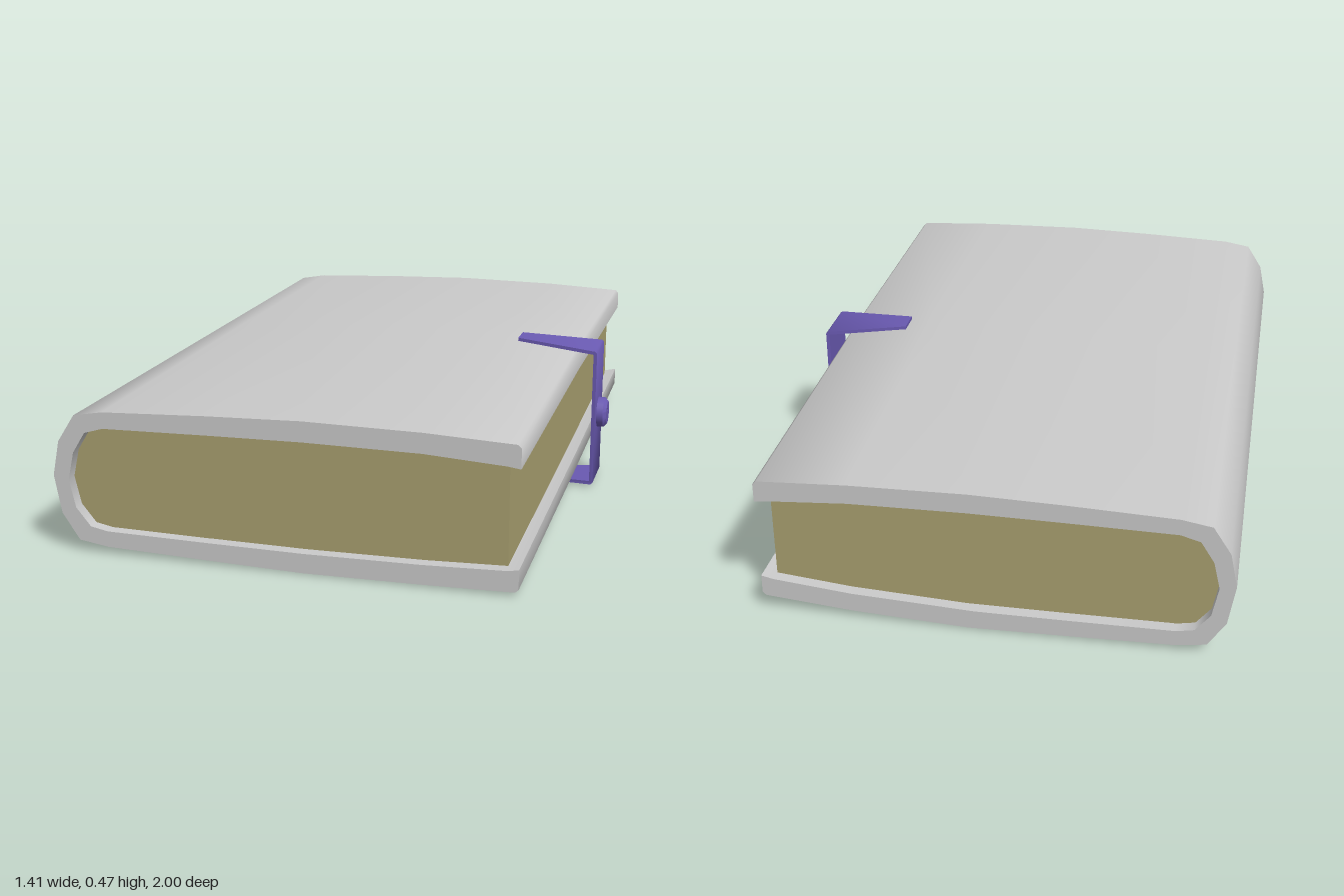
import * as THREE from 'three';
import { toCreasedNormals } from 'three/addons/utils/BufferGeometryUtils.js';

const shapeOf = (pts) => new THREE.Shape(pts.map(([x, y]) => new THREE.Vector2(x, y)));

// Extrude a profile along z, centred, then move each vertex by a rule
function extrudeAlongZ(pts, length, steps, rule) {
  const geo = new THREE.ExtrudeGeometry(shapeOf(pts), { depth: length, steps, bevelEnabled: false });
  geo.translate(0, 0, -length / 2);
  const pos = geo.attributes.position;
  const v = new THREE.Vector3();
  for (let i = 0; i < pos.count; i++) {
    rule(v.fromBufferAttribute(pos, i));
    pos.setXYZ(i, v.x, v.y, v.z);
  }
  return toCreasedNormals(geo, 0.95);
}

// Bulging upper board, slightly warped lower board
function warp(v) {
  const middle = 1 - Math.abs(v.z);
  const back = Math.max(0, -v.z);
  if (v.y > 0.25) {
    v.y += 0.04 * middle * Math.max(0, 1 - Math.abs(v.x - 0.02) / 0.62);
    if (v.x > 0.3) v.y += 0.01 * middle;
  } else if (v.y < 0.2) {
    v.y += 0.012 * middle * (v.x > -0.4 ? 1 : 0);
    v.y += back * (v.x > 0 ? 0.035 * (v.x / 0.61) ** 1.5 : 0.012 * v.x);
  }
}

export function createModel() {
  const model = new THREE.Group();
  const coverGrey = new THREE.MeshStandardMaterial({ name: 'coverGrey', color: 0xcacaca });
  const paperTan = new THREE.MeshStandardMaterial({ name: 'paperTan', color: 0xa89f6f });
  const claspPurple = new THREE.MeshStandardMaterial({ name: 'claspPurple', color: 0x6a5ab2 });

  const add = (name, geo, mat, parent = model) => {
    const mesh = new THREE.Mesh(geo, mat);
    mesh.name = name;
    parent.add(mesh);
    return mesh;
  };

  // Cover: upper board, rounded spine and lower board in one C profile
  const outer = [
    [0.61, 0.405], [0.6, 0.415], [0.35, 0.427], [0.02, 0.432], [-0.25, 0.425], [-0.55, 0.413],
    [-0.635, 0.398], [-0.685, 0.32], [-0.705, 0.22], [-0.685, 0.11], [-0.635, 0.035],
    [-0.55, 0.022], [-0.25, 0.012], [0.02, 0.004], [0.35, 0.007], [0.6, 0.012], [0.61, 0.02],
  ];
  const inner = [
    [0.61, 0.075], [0.575, 0.07], [0.35, 0.063], [0.02, 0.06], [-0.25, 0.063], [-0.55, 0.068],
    [-0.6, 0.078], [-0.642, 0.13], [-0.66, 0.21], [-0.642, 0.29], [-0.605, 0.35],
    [-0.55, 0.366], [-0.25, 0.371], [0.02, 0.374], [0.35, 0.37], [0.575, 0.355], [0.61, 0.35],
  ];
  add('cover', extrudeAlongZ([...outer, ...inner].reverse(), 2, 2, warp), coverGrey);

  // Page block: reaches a little into the boards
  const pageEdge = inner.slice(1, -1).map(([x, y]) => [
    x < -0.55 ? x - 0.01 : x, y + (y > 0.25 ? 0.012 : y < 0.2 ? -0.012 : 0),
  ]);
  add('pages', extrudeAlongZ(pageEdge.reverse(), 1.93, 2, warp), paperTan);

  // Clasp strap: bent strip whose two arms taper toward their tips
  const clasp = new THREE.Group();
  clasp.name = 'clasp';
  clasp.position.z = -0.005;
  model.add(clasp);
  const strap = [
    [0.42, 0.449], [0.664, 0.43], [0.664, 0.019], [0.42, 0.011], [0.42, 0.001],
    [0.668, 0.008], [0.675, 0.014], [0.675, 0.434], [0.669, 0.44], [0.42, 0.459],
  ];
  add('strap', extrudeAlongZ(strap.reverse(), 0.166, 1, (v) => {
    if (v.x < 0.5) v.z *= 0.48;
  }), claspPurple, clasp);

  // Lock button: round base with a cap pierced by a keyhole
  const lock = new THREE.Group();
  lock.name = 'lock';
  lock.position.set(0.673, 0.227, 0.005);
  lock.rotation.y = Math.PI / 2;
  clasp.add(lock);
  const base = new THREE.CylinderGeometry(0.047, 0.047, 0.022, 24);
  add('lockBase', base.rotateX(Math.PI / 2).translate(0, 0, 0.011), claspPurple, lock);

  const face = new THREE.Shape().absarc(0, 0, 0.047, 0, Math.PI * 2);
  const keyhole = new THREE.Path();
  keyhole.moveTo(0.004, -0.02);
  keyhole.lineTo(0.004, 0.003);
  keyhole.absarc(0, 0.01, 0.009, -1.1, Math.PI + 1.1, false);
  keyhole.lineTo(-0.004, -0.02);
  face.holes.push(keyhole);
  const cap = new THREE.ExtrudeGeometry(face, { depth: 0.01, bevelEnabled: false, curveSegments: 24 });
  const pos = cap.attributes.position;
  for (let i = 0; i < pos.count; i++) {
    if (pos.getZ(i) > 0.005) pos.setXY(i, pos.getX(i) * 0.75, pos.getY(i) * 0.75);
  }
  cap.translate(0, 0, 0.022);
  add('lockCap', toCreasedNormals(cap, 0.6), claspPurple, lock);

  return model;
}
